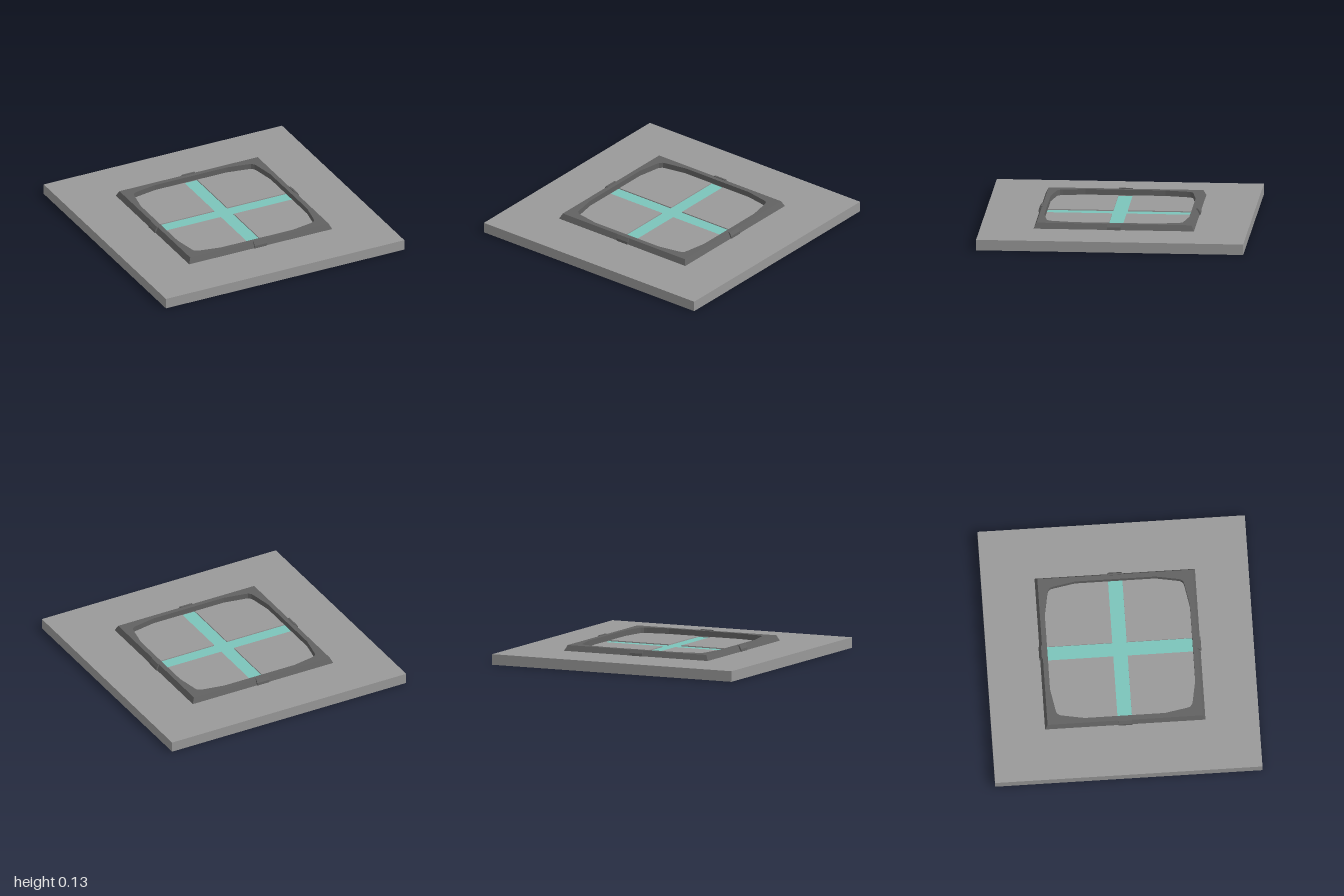
import * as THREE from 'three';

const BASE = 0.08, CHANNEL = 0.01, TOP = 0.122;
const material = (color) => new THREE.MeshStandardMaterial({ color, flatShading: true });
const points = (list) => list.map(([x, y]) => new THREE.Vector2(x, y));

// repeat the points of one quarter around the centre
function fourfold(quarter) {
  const all = [];
  for (let i = 0; i < 4; i++) {
    for (const [x, y] of quarter) {
      const c = [1, 0, -1, 0][i], s = [0, 1, 0, -1][i];
      all.push([x * c - y * s, x * s + y * c]);
    }
  }
  return points(all);
}

// extrude an outline in the ground plane upwards from height y
function slab(outline, hole, y, height) {
  const shape = new THREE.Shape(outline);
  if (hole) shape.holes.push(new THREE.Path(hole));
  const geometry = new THREE.ExtrudeGeometry(shape, { depth: height, bevelEnabled: false });
  return geometry.rotateX(-Math.PI / 2).translate(0, y, 0);
}

export function createModel() {
  const group = new THREE.Group();
  const grey = material(0x999999), dark = material(0x626262), teal = material(0x7cc4ba);
  const add = (name, geometry, mat) => {
    const mesh = new THREE.Mesh(geometry, mat);
    mesh.name = name;
    group.add(mesh);
    return mesh;
  };

  // floor plate, with a shallow cross-shaped channel in its upper layer
  const h = BASE - CHANNEL;
  add('basePlate', new THREE.BoxGeometry(2, h, 2).translate(0, h / 2, 0), grey);
  const w = 0.054, reach = 0.55;
  const cross = fourfold([[w, w], [w, reach], [-w, reach]]);
  add('baseSurface', slab(fourfold([[1, 1]]), cross, h, CHANNEL), grey);

  // coloured floor of the channel
  const strip = new THREE.ShapeGeometry(new THREE.Shape(cross));
  add('crossStrip', strip.rotateX(-Math.PI / 2).translate(0, h + 0.002, 0), teal);

  // square frame with a softly rounded opening and sloping outer sides
  const opening = fourfold([
    [0.543, -0.3], [0.543, 0], [0.543, 0.3], [0.513, 0.465], [0.507, 0.488],
    [0.488, 0.507], [0.465, 0.513],
  ]);
  const frame = slab(fourfold([[0.6, 0.6]]), opening, BASE, TOP - BASE);
  const p = frame.attributes.position;
  for (let i = 0; i < p.count; i++) {
    if (Math.abs(p.getX(i)) > 0.59 && p.getY(i) > BASE + 0.01) {
      p.setX(i, Math.sign(p.getX(i)) * 0.58);
      p.setZ(i, Math.sign(p.getZ(i)) * 0.58);
    }
  }
  frame.computeVertexNormals();
  add('frame', frame, dark);

  // clip at the middle of each side
  const profile = new THREE.Shape(points([
    [0.574, BASE], [0.606, BASE], [0.604, 0.1], [0.588, 0.127], [0.574, 0.127],
  ]));
  for (let i = 0; i < 4; i++) {
    const clip = new THREE.ExtrudeGeometry(profile, { depth: 0.104, bevelEnabled: false });
    add('frameClip', clip.translate(0, 0, -0.052), dark).rotation.y = i * Math.PI / 2;
  }
  return group;
}
